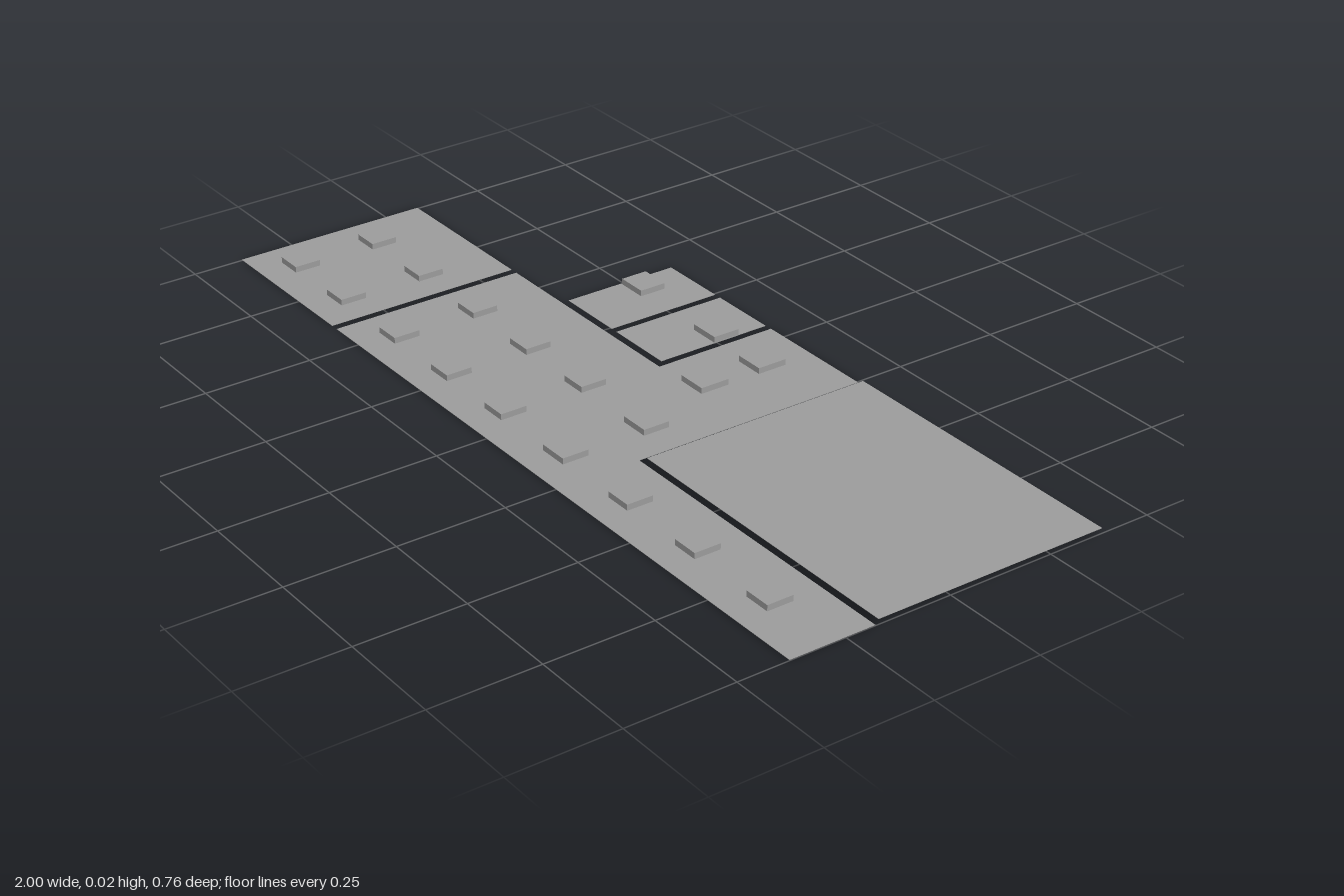
import * as THREE from 'three';

const LOW = 0.001, HIGH = 0.0115, THICKNESS = 0.001, LIGHT_TOP = 0.0155;
const material = new THREE.MeshStandardMaterial({ color: 0x9b9b9b, side: THREE.DoubleSide });

// Corner list of a rectangle in plan (x, z)
const rect = (x0, z0, x1, z1) => [[x0, z0], [x1, z0], [x1, z1], [x0, z1]];

// Each light: centre x, centre z, width, depth
const lights = [];
for (const z of [0.084, 0.284]) {
  for (const x of [-0.904, -0.707, -0.487, -0.281, -0.075]) lights.push([x, z, 0.062, 0.062]);
  lights.push([0.144, z, 0.07, 0.062]);
}
for (const x of [0.369, 0.59, 0.816]) lights.push([x, 0.284, 0.064, 0.062]);
for (const z of [-0.27, -0.12]) lights.push([0.07, z, 0.07, 0.07]);
lights.push([-0.367, -0.275, 0.072, 0.064], [-0.099, -0.275, 0.074, 0.064]);

// Thin ceiling panel lying flat at height y, with an opening under each of its lights
function panel(name, corners, y, owns) {
  const points = (list) => list.map(([x, z]) => new THREE.Vector2(x, -z));
  const shape = new THREE.Shape(points(corners));
  for (const [x, z, w, d] of lights.filter(owns)) {
    shape.holes.push(new THREE.Path(points(rect(x - w / 2, z - d / 2, x + w / 2, z + d / 2))));
  }
  const geometry = new THREE.ExtrudeGeometry(shape, { depth: THICKNESS, bevelEnabled: false });
  const mesh = new THREE.Mesh(geometry.rotateX(-Math.PI / 2), material);
  mesh.name = name;
  mesh.position.y = y;
  return mesh;
}

// Recessed light housing: four walls and a lid, open below
function lightHousing([x, z, w, d]) {
  const geometry = new THREE.BoxGeometry(w, LIGHT_TOP, d);
  const index = Array.from(geometry.index.array);
  index.splice(18, 6); // drop the bottom face
  geometry.setIndex(index);
  const mesh = new THREE.Mesh(geometry, material);
  mesh.name = 'lightHousing';
  mesh.position.set(x, LIGHT_TOP / 2, z);
  return mesh;
}

export function createModel() {
  const group = new THREE.Group();
  group.name = 'suspendedCeiling';

  const inSmall = ([x, z]) => z < -0.1 && x < -0.05;
  const hall = [
    [-0.587, -0.084], [-0.043, -0.084], [-0.043, -0.381], [0.254, -0.381],
    [0.254, 0.181], [1, 0.181], [1, 0.381], [-0.587, 0.381],
  ];

  group.add(
    panel('endRoomCeiling', rect(-1, -0.084, -0.606, 0.381), LOW, ([x]) => x < -0.6),
    panel('hallCeiling', hall, LOW, (l) => l[0] > -0.6 && !inSmall(l)),
    panel('smallRoomCeiling', rect(-0.407, -0.38, -0.243, -0.102), LOW, (l) => inSmall(l) && l[0] < -0.23),
    panel('smallRoomCeiling', rect(-0.225, -0.38, -0.061, -0.102), LOW, (l) => inSmall(l) && l[0] > -0.23),
    panel('largeRoomCeiling', rect(0.271, -0.381, 1, 0.174), HIGH, () => false),
  );

  const fixtures = new THREE.Group();
  fixtures.name = 'ceilingLights';
  for (const light of lights) fixtures.add(lightHousing(light));
  group.add(fixtures);
  return group;
}
